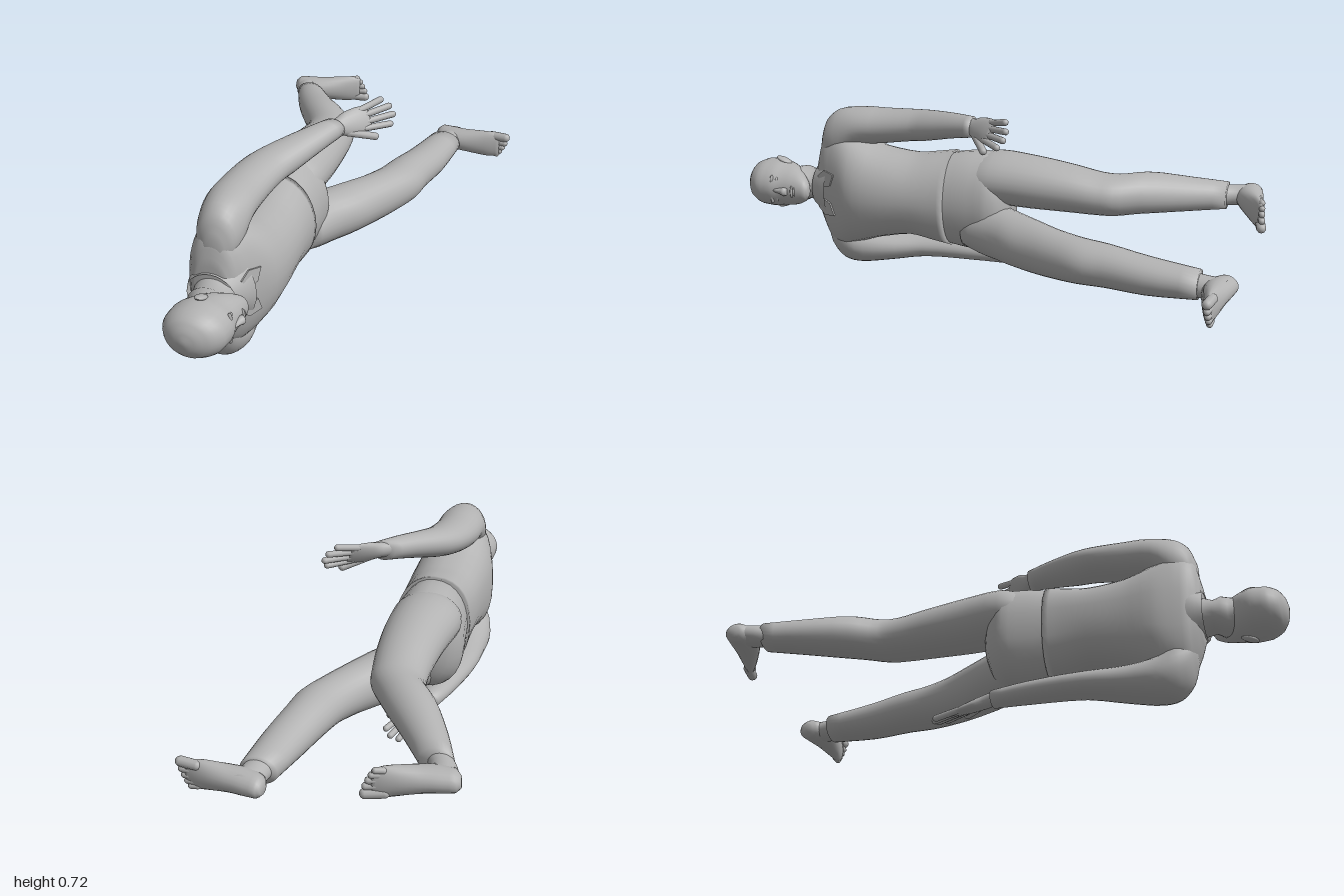
import * as THREE from 'three';

const V = (x, y, z) => new THREE.Vector3(x, y, z);

// Closed skin over elliptical sections [z, centreX, centreY, radiusX, radiusY];
// back below 1 squares off the -x half
function loft(sections, { caps = true, sides = 28, steps = 3, back = 1 } = {}) {
  const s = [...sections].sort((a, b) => a[0] - b[0]);
  const rings = [];
  const curveA = new THREE.CatmullRomCurve3(s.map(r => V(r[1], r[2], r[0])));
  const curveB = new THREE.CatmullRomCurve3(s.map(r => V(r[3], r[4], 0)));
  const count = (s.length - 1) * steps;
  for (let i = 0; i <= count; i++) {
    const c = curveA.getPoint(i / count), r = curveB.getPoint(i / count);
    rings.push([c, Math.max(r.x, 0.002), Math.max(r.y, 0.002)]);
  }
  const pos = [], index = [];
  for (const [c, rx, ry] of rings) {
    for (let j = 0; j < sides; j++) {
      const a = (j / sides) * Math.PI * 2, u = Math.cos(a), v = Math.sin(a);
      const p = u < 0 ? back : 1;
      pos.push(c.x + rx * Math.sign(u) * Math.abs(u) ** p, c.y + ry * Math.sign(v) * Math.abs(v) ** p, c.z);
    }
  }
  for (let i = 0; i < count; i++) {
    for (let j = 0; j < sides; j++) {
      const k = (j + 1) % sides;
      const a = i * sides + j, b = i * sides + k, c = a + sides, d = b + sides;
      index.push(a, b, d, a, d, c);
    }
  }
  if (caps) {
    const first = pos.length / 3, last = first + 1, top = count * sides;
    pos.push(...rings[0][0].toArray(), ...rings[count][0].toArray());
    for (let j = 0; j < sides; j++) {
      const k = (j + 1) % sides;
      index.push(first, k, j, last, top + j, top + k);
    }
  }
  const g = new THREE.BufferGeometry();
  g.setAttribute('position', new THREE.Float32BufferAttribute(pos, 3));
  g.setIndex(index);
  g.computeVertexNormals();
  return g;
}

export function createModel() {
  const model = new THREE.Group();
  model.name = 'recliningFigure';
  const grey = new THREE.MeshStandardMaterial({ color: 0xb2b2b2, side: THREE.DoubleSide });
  grey.name = 'plainGrey';

  const add = (name, geometry, parent = model) => {
    const mesh = new THREE.Mesh(geometry, grey);
    mesh.name = name;
    parent.add(mesh);
    return mesh;
  };
  const ball = (name, p, r) => {
    const mesh = add(name, new THREE.SphereGeometry(1, 18, 12));
    mesh.position.copy(p);
    mesh.scale.copy(r);
    return mesh;
  };
  // Rounded finger or toe between two points
  const digit = (name, a, b, r, parent) => {
    const d = b.clone().sub(a);
    const mesh = add(name, new THREE.CapsuleGeometry(r, d.length(), 4, 10), parent);
    mesh.position.copy(a).add(b).multiplyScalar(0.5);
    mesh.quaternion.setFromUnitVectors(V(0, 1, 0), d.normalize());
  };
  // Group whose local z runs along an extremity and local x across it
  const frame = (name, origin, tip, across) => {
    const z = tip.clone().sub(origin).normalize();
    const y = z.clone().cross(across).normalize();
    const x = y.clone().cross(z);
    const g = new THREE.Group();
    g.name = name;
    g.quaternion.setFromRotationMatrix(new THREE.Matrix4().makeBasis(x, y, z));
    g.position.copy(origin);
    model.add(g);
    return g;
  };

  // Shirt
  add('shirt', loft([
    [0.165, -0.11, 0.317, 0.142, 0.184], [0.23, -0.107, 0.318, 0.143, 0.172],
    [0.32, -0.105, 0.32, 0.147, 0.158], [0.45, -0.103, 0.315, 0.152, 0.178],
    [0.55, -0.109, 0.315, 0.15, 0.213], [0.62, -0.12, 0.315, 0.124, 0.238],
    [0.665, -0.126, 0.32, 0.104, 0.222], [0.695, -0.128, 0.335, 0.082, 0.175],
    [0.715, -0.128, 0.325, 0.06, 0.1]], { back: 0.82 }));
  add('leftSleeve', loft([
    [0.7, -0.125, 0.47, 0.03, 0.05], [0.675, -0.125, 0.5, 0.066, 0.086],
    [0.63, -0.127, 0.518, 0.082, 0.104], [0.55, -0.13, 0.561, 0.088, 0.074],
    [0.45, -0.13, 0.571, 0.086, 0.067], [0.32, -0.11, 0.589, 0.083, 0.059],
    [0.25, -0.08, 0.602, 0.08, 0.056], [0.12, -0.005, 0.632, 0.06, 0.045],
    [0.035, 0.045, 0.648, 0.045, 0.038]]));
  add('rightSleeve', loft([
    [0.69, -0.14, 0.18, 0.03, 0.04], [0.665, -0.143, 0.14, 0.066, 0.08],
    [0.62, -0.149, 0.112, 0.09, 0.1], [0.56, -0.154, 0.085, 0.1, 0.082],
    [0.45, -0.165, 0.08, 0.09, 0.062], [0.3, -0.185, 0.088, 0.07, 0.046],
    [0.1, -0.17, 0.094, 0.056, 0.039], [-0.045, -0.148, 0.096, 0.042, 0.031]]));

  // Collar band and its two points
  add('collar', loft([
    [0.65, -0.112, 0.315, 0.12, 0.14], [0.685, -0.118, 0.315, 0.108, 0.108],
    [0.72, -0.125, 0.315, 0.09, 0.083]], { caps: false }));
  for (const side of [-1, 1]) {
    const flap = new THREE.Shape([[0.022, 0.055], [0.062, 0.085], [0.09, 0.055], [0.082, 0], [0.035, 0.012]]
      .map(([a, b]) => new THREE.Vector2(a * side, b)));
    const geo = new THREE.ExtrudeGeometry(flap, { depth: 0.006, bevelEnabled: false });
    const up = V(-0.42, 0, 0.9).normalize();
    const across = V(0, 1, -side * 0.15).normalize();
    geo.applyMatrix4(new THREE.Matrix4().makeBasis(across, up, across.clone().cross(up)));
    add('collarPoint', geo).position.set(0.004, 0.315, 0.62);
  }

  // Trousers
  add('trouserSeat', loft([
    [0.21, -0.11, 0.316, 0.128, 0.168], [0.1, -0.117, 0.316, 0.138, 0.189],
    [0.02, -0.122, 0.317, 0.142, 0.19], [-0.04, -0.115, 0.317, 0.112, 0.15],
    [-0.07, -0.11, 0.317, 0.06, 0.08]], { back: 0.9 }));
  add('leftTrouserLeg', loft([
    [0.1, -0.125, 0.4, 0.1, 0.08], [0, -0.13, 0.412, 0.128, 0.1],
    [-0.15, -0.123, 0.408, 0.117, 0.097], [-0.3, -0.126, 0.397, 0.105, 0.087],
    [-0.4, -0.135, 0.385, 0.098, 0.078], [-0.46, -0.148, 0.382, 0.097, 0.076],
    [-0.55, -0.205, 0.382, 0.098, 0.076], [-0.7, -0.302, 0.362, 0.08, 0.063],
    [-0.83, -0.375, 0.347, 0.06, 0.051]]));
  add('rightTrouserLeg', loft([
    [0.1, -0.095, 0.225, 0.1, 0.08], [0, -0.07, 0.222, 0.12, 0.1],
    [-0.1, -0.01, 0.221, 0.12, 0.097], [-0.2, 0.05, 0.221, 0.107, 0.094],
    [-0.3, 0.107, 0.223, 0.097, 0.087], [-0.4, 0.15, 0.226, 0.094, 0.081],
    [-0.5, 0.168, 0.226, 0.086, 0.076], [-0.65, 0.195, 0.218, 0.079, 0.067],
    [-0.835, 0.217, 0.217, 0.066, 0.051]]));

  // Head and neck
  add('neck', loft([
    [0.64, -0.125, 0.315, 0.08, 0.08], [0.72, -0.118, 0.315, 0.073, 0.066],
    [0.8, -0.1, 0.315, 0.073, 0.066], [0.84, -0.1, 0.315, 0.06, 0.055]]));
  add('head', loft([
    [0.722, -0.01, 0.315, 0.014, 0.02], [0.735, -0.017, 0.315, 0.033, 0.04],
    [0.765, -0.037, 0.315, 0.056, 0.06], [0.8, -0.063, 0.315, 0.083, 0.075],
    [0.84, -0.08, 0.315, 0.101, 0.084], [0.88, -0.086, 0.315, 0.113, 0.091],
    [0.93, -0.088, 0.315, 0.11, 0.088], [0.97, -0.09, 0.315, 0.084, 0.07],
    [0.992, -0.091, 0.315, 0.045, 0.04], [1, -0.092, 0.315, 0.01, 0.01]]));
  add('nose', loft([
    [0.8, 0.022, 0.315, 0.01, 0.013], [0.812, 0.024, 0.315, 0.016, 0.016],
    [0.83, 0.018, 0.315, 0.015, 0.011], [0.86, 0.013, 0.315, 0.01, 0.008]], { sides: 14 }));
  ball('upperLip', V(0.015, 0.315, 0.783), V(0.01, 0.024, 0.006));
  ball('lowerLip', V(0.013, 0.315, 0.773), V(0.009, 0.02, 0.006));
  for (const side of [-1, 1]) {
    ball('eye', V(0.003, 0.315 + side * 0.034, 0.849), V(0.01, 0.015, 0.007));
    ball('brow', V(0.009, 0.315 + side * 0.034, 0.868), V(0.01, 0.024, 0.007));
    const ear = ball('ear', V(-0.092, 0.315 + side * 0.09, 0.86), V(0.02, 0.009, 0.033));
    ear.rotation.x = side * -0.35;
  }

  // Hands: inner is the side of local x that carries the thumb
  const hand = (name, wrist, tip, across, inner) => {
    const g = frame(name, wrist, tip, across);
    add('palm', loft([
      [-0.04, 0, 0, 0.03, 0.026], [0.01, 0, 0, 0.031, 0.025], [0.05, 0, 0, 0.044, 0.022],
      [0.1, 0, 0, 0.048, 0.017], [0.14, 0, 0, 0.041, 0.01]], { sides: 18 }), g);
    [[0.034, 0.046, 0.222], [0.012, 0.016, 0.242], [-0.011, -0.016, 0.237], [-0.033, -0.047, 0.212]]
      .forEach(([a, b, end]) =>
        digit('finger', V(inner * a, 0, 0.115), V(inner * b, 0.002, end - 0.01), 0.012, g));
    digit('thumb', V(inner * 0.03, 0, 0.045), V(inner * 0.072, 0.004, 0.14), 0.014, g);
  };
  hand('leftHand', V(0.05, 0.65, 0.035), V(0.208, 0.672, -0.14), V(-0.4, 0.85, -0.25), -1);
  hand('rightHand', V(-0.145, 0.095, -0.06), V(-0.08, 0.065, -0.3), V(1, 0.25, 0), 1);

  // Feet: inner is the side of local x that carries the big toe
  const foot = (name, heel, tip, inner) => {
    const g = frame(name, heel, tip, V(0, 1, 0));
    add('footBody', loft([
      [-0.005, 0, 0.038, 0.018, 0.02], [0.015, 0, 0.045, 0.037, 0.043], [0.07, 0, 0.053, 0.043, 0.052],
      [0.12, 0, 0.049, 0.046, 0.047], [0.18, 0, 0.037, 0.052, 0.036],
      [0.23, 0, 0.026, 0.055, 0.024], [0.268, 0, 0.017, 0.046, 0.012]], { sides: 20 }), g);
    [[0.036, 0.308, 0.018], [0.011, 0.3, 0.0125], [-0.009, 0.29, 0.012],
      [-0.027, 0.279, 0.0115], [-0.043, 0.266, 0.011]].forEach(([x, end, r]) =>
      digit('toe', V(inner * x, 0.018, 0.23), V(inner * x * 1.06, 0.014, end - r), r, g));
  };
  foot('leftFoot', V(-0.475, 0.343, -0.95), V(-0.2, 0.335, -0.995), -1);
  foot('rightFoot', V(0.178, 0.214, -0.968), V(0.47, 0.212, -0.912), 1);
  add('leftAnkle', loft([
    [-0.79, -0.365, 0.345, 0.045, 0.04], [-0.85, -0.402, 0.343, 0.046, 0.038],
    [-0.92, -0.418, 0.343, 0.052, 0.038]]));
  add('rightAnkle', loft([
    [-0.79, 0.215, 0.217, 0.05, 0.042], [-0.86, 0.227, 0.215, 0.05, 0.039],
    [-0.93, 0.24, 0.214, 0.058, 0.038]]));

  return model;
}
